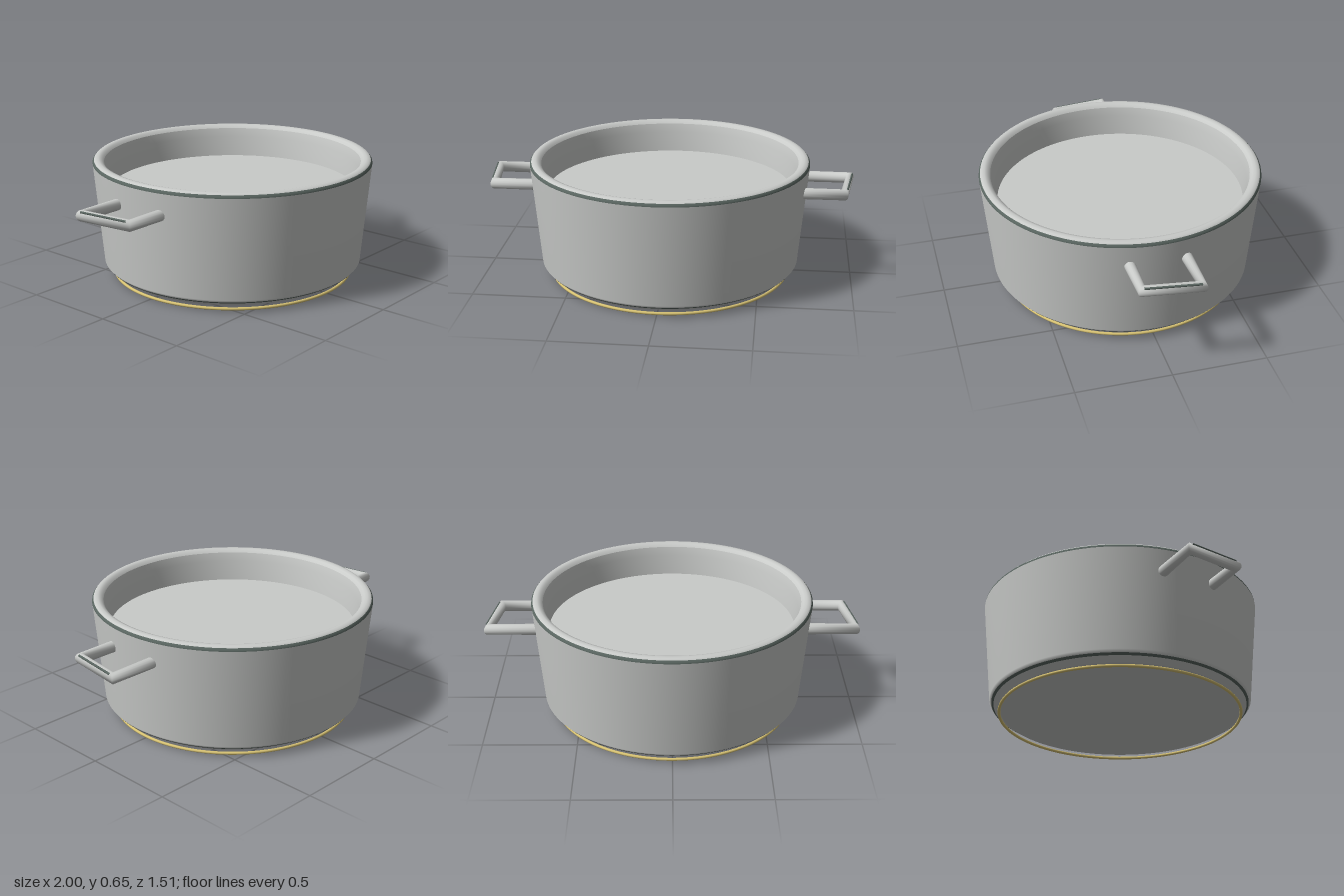
import * as THREE from 'three';

const SEGMENTS = 128;

// Straight-sided path through a few points; corners are hit exactly by the tube rings
class Polyline extends THREE.Curve {
  constructor(points) {
    super();
    this.points = points;
  }
  getPoint(t, target = new THREE.Vector3()) {
    const last = this.points.length - 1;
    const s = THREE.MathUtils.clamp(t, 0, 1) * last;
    const i = Math.min(Math.floor(s), last - 1);
    return target.lerpVectors(this.points[i], this.points[i + 1], s - i);
  }
  getPointAt(u, target) {
    return this.getPoint(u, target);
  }
  getTangentAt(u, target = new THREE.Vector3()) {
    const s = u * (this.points.length - 1);
    const i = Math.round(s);
    const p = this.points;
    const before = p[i].clone().sub(p[Math.max(i - 1, 0)]).normalize();
    const after = p[Math.min(i + 1, p.length - 1)].clone().sub(p[i]).normalize();
    return target.copy(before).add(after).normalize();
  }
}

function flat(name, color) {
  const material = new THREE.MeshStandardMaterial({ color });
  material.name = name;
  return material;
}

export function createModel() {
  const steel = flat('brushed steel', 0xc9cbc9);
  const brass = flat('pale brass', 0xd8c374);
  const darkTrim = flat('dark green-grey trim', 0x5a6661);

  const pot = new THREE.Group();
  pot.name = 'cookingPot';

  const add = (name, geometry, material) => {
    const mesh = new THREE.Mesh(geometry, material);
    mesh.name = name;
    pot.add(mesh);
    return mesh;
  };
  const turned = (name, material, profile) =>
    add(name, new THREE.LatheGeometry(profile.map(([r, y]) => new THREE.Vector2(r, y)), SEGMENTS), material);

  // Body, turned in sections so that the edges between them stay crisp
  turned('base', steel, [[0, 0.028], [0.647, 0.028]]);
  turned('baseBevel', steel, [[0.647, 0.028], [0.683, 0.051]]);
  turned('baseTrim', darkTrim, [[0.683, 0.051], [0.691, 0.056], [0.695, 0.061]]);
  turned('outerWall', steel, [[0.695, 0.061], [0.707, 0.075], [0.757, 0.622]]);
  turned('rimTrim', darkTrim, [[0.757, 0.622], [0.756, 0.63], [0.749, 0.638]]);
  turned('rim', steel, [[0.749, 0.638], [0.742, 0.645], [0.725, 0.648], [0.708, 0.643], [0.695, 0.628]]);
  turned('innerWall', steel, [[0.695, 0.628], [0.682, 0.58], [0.667, 0.467]]);
  turned('innerFloor', steel, [[0.667, 0.467], [0, 0.467]]);

  // Thin ring under the base
  const ring = add('baseRing', new THREE.TorusGeometry(0.652, 0.008, 10, SEGMENTS), brass);
  ring.rotation.x = Math.PI / 2;
  ring.position.y = 0.009;

  // Bracket handles with a dark line along the upper outer edge of each grip
  for (const side of [1, -1]) {
    const label = side > 0 ? 'left' : 'right';
    const path = (y, points) => new Polyline(points.map(([x, z]) => new THREE.Vector3(side * x, y, z)));
    const bracket = path(0.505, [[0.7, -0.146], [0.979, -0.146], [0.94, 0.146], [0.7, 0.146]]);
    add(label + 'Handle', new THREE.TubeGeometry(bracket, 3, 0.03, 16, false), steel);
    const edge = path(0.527, [[0.991, -0.14], [0.954, 0.14]]);
    add(label + 'HandleTrim', new THREE.TubeGeometry(edge, 1, 0.006, 8, false), darkTrim);
  }

  return pot;
}
